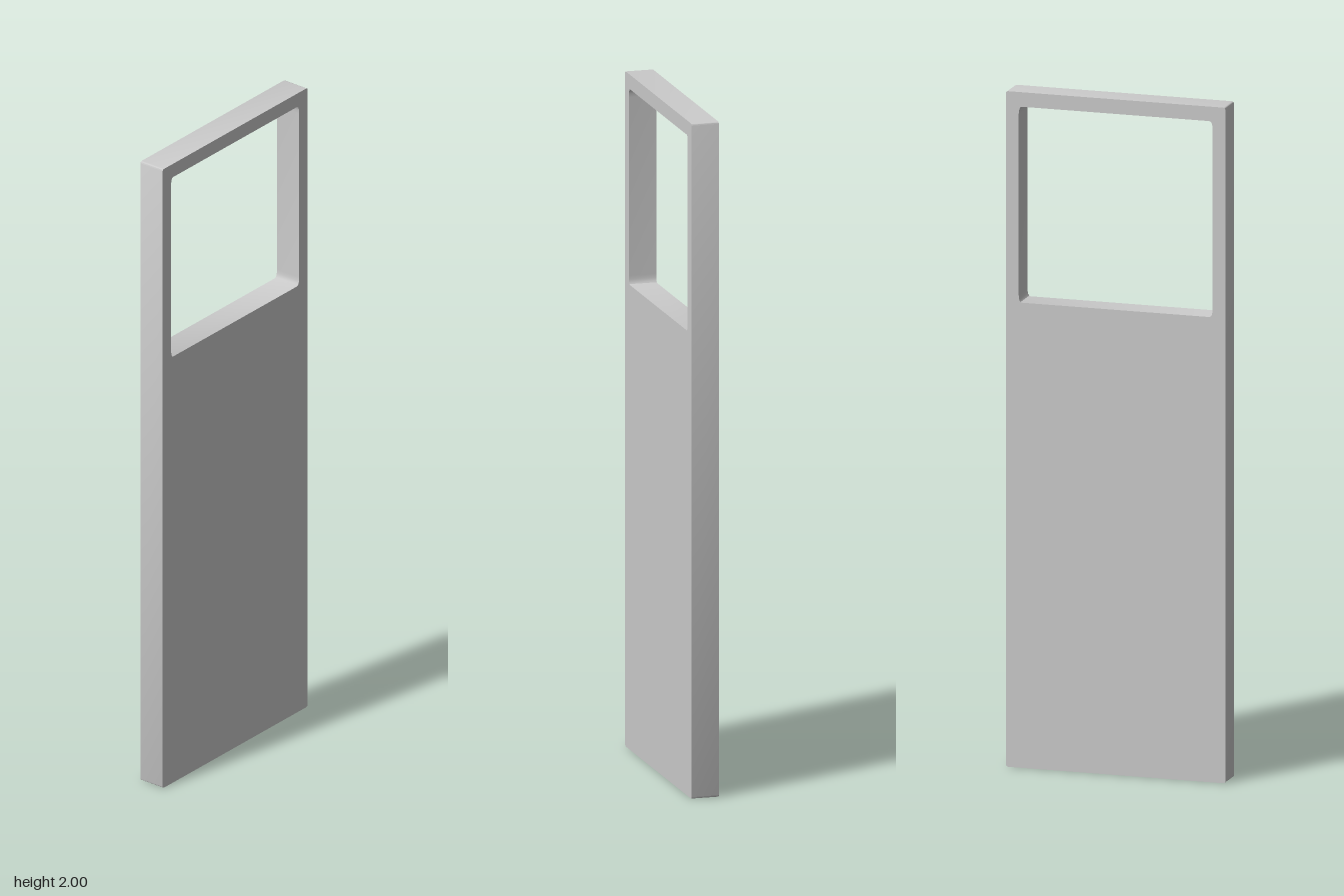
import * as THREE from 'three';
import { toCreasedNormals } from 'three/addons/utils/BufferGeometryUtils.js';

const THICKNESS = 0.082;

// Rectangle with elliptically eased corners: rx across, ry along the height
function easedRect(path, halfWidth, y0, y1, rx, ry) {
  const w = halfWidth;
  path.moveTo(-w + rx, y0);
  path.lineTo(w - rx, y0);
  path.quadraticCurveTo(w, y0, w, y0 + ry);
  path.lineTo(w, y1 - ry);
  path.quadraticCurveTo(w, y1, w - rx, y1);
  path.lineTo(-w + rx, y1);
  path.quadraticCurveTo(-w, y1, -w, y1 - ry);
  path.lineTo(-w, y0 + ry);
  path.quadraticCurveTo(-w, y0, -w + rx, y0);
  return path;
}

export function createModel() {
  const group = new THREE.Group();
  group.name = 'windowedPanel';

  // Upright slab with a window opening near the top
  const outline = easedRect(new THREE.Shape(), 0.332, 0, 2, 0.007, 0.01);
  outline.holes.push(easedRect(new THREE.Path(), 0.293, 1.377, 1.957, 0.01, 0.026));

  const geometry = new THREE.ExtrudeGeometry(outline, {
    depth: THICKNESS, bevelEnabled: false, curveSegments: 4,
  });
  geometry.translate(0, 0, -THICKNESS / 2);
  geometry.rotateY(-Math.PI / 2); // width runs along z, thickness along x

  const panel = new THREE.Mesh(
    toCreasedNormals(geometry, Math.PI / 5),
    new THREE.MeshStandardMaterial({ color: 0xcccccc }),
  );
  panel.name = 'panel';
  group.add(panel);
  return group;
}
